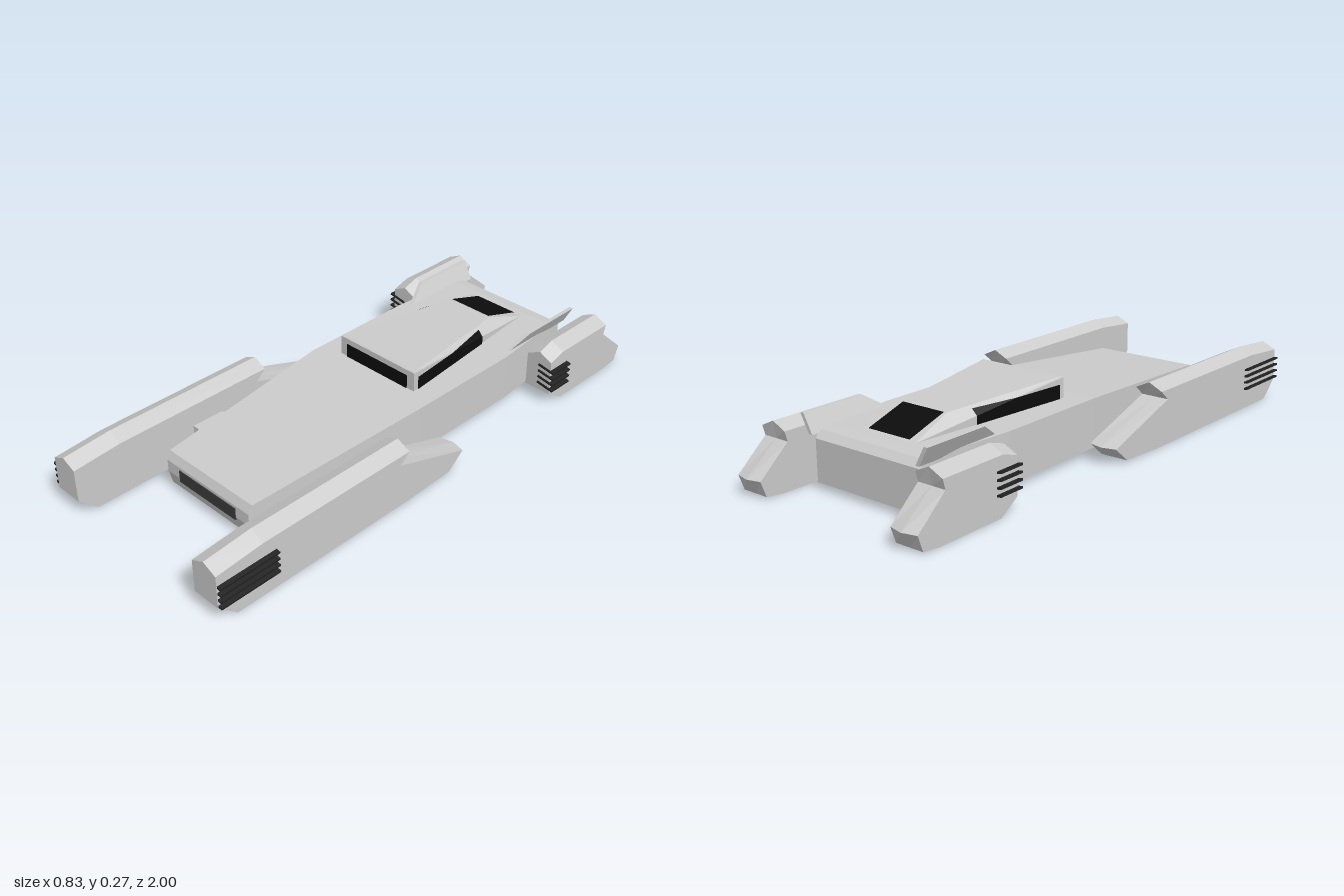
import * as THREE from 'three';
import { ConvexGeometry } from 'three/addons/geometries/ConvexGeometry.js';

const paint = (color, side = THREE.FrontSide) =>
  new THREE.MeshStandardMaterial({ color, flatShading: true, side });
const grey = paint(0xcccccc);
const dark = paint(0x222222);
const grilleGrey = paint(0x3c3c3c);
const glass = paint(0x0c0c0c, THREE.DoubleSide);
const v = (x, y, z) => new THREE.Vector3(x, y, z);

function add(parent, name, geometry, material, x = 0, y = 0, z = 0) {
  const mesh = new THREE.Mesh(geometry, material);
  mesh.name = name;
  mesh.position.set(x, y, z);
  parent.add(mesh);
  return mesh;
}

// Flat pane: a fan over a convex outline
function pane(points) {
  const g = new THREE.BufferGeometry().setFromPoints(points);
  const index = [];
  for (let i = 1; i < points.length - 1; i++) index.push(0, i, i + 1);
  g.setIndex(index);
  g.computeVertexNormals();
  return g;
}

// Side outline [z, y] extruded across x, with a raised ridge and pointed tail
function podGeometry(outline, width, tailZ) {
  const shape = new THREE.Shape(outline.map(([z, y]) => new THREE.Vector2(z, y)));
  const g = new THREE.ExtrudeGeometry(shape, { depth: width, steps: 2, bevelEnabled: false });
  g.rotateY(-Math.PI / 2).translate(width / 2, 0, 0);
  const p = g.attributes.position;
  for (let i = 0; i < p.count; i++) {
    if (Math.abs(p.getX(i)) > 0.01) continue;
    if (p.getY(i) > 0.17) p.setY(i, p.getY(i) + 0.025);
    if (p.getZ(i) < tailZ) p.setZ(i, p.getZ(i) - 0.013);
  }
  g.computeVertexNormals();
  return g;
}

// Four tilted vent blades on the outer front corner of a pod
function addVents(parent, side, outerX, z0, z1, reach) {
  for (let i = 0; i < 4; i++) {
    const blade = add(parent, 'ventBlade', new THREE.BoxGeometry(reach, 0.007, z1 - z0), dark,
      side * (outerX - reach / 2), 0.075 + i * 0.0245, (z0 + z1) / 2);
    blade.rotation.z = -0.18;
  }
}

export function createModel() {
  const model = new THREE.Group();
  const craft = new THREE.Group();
  craft.name = 'vehicle';
  craft.position.x = -0.003;
  model.add(craft);

  // Hull from stations: z, half width, bottom, top
  const stations = [
    [0.71, 0.2, 0.08, 0.125], [0.695, 0.202, 0.025, 0.155], [0, 0.26, 0.025, 0.2],
    [-0.45, 0.261, 0.025, 0.2], [-0.74, 0.235, 0.025, 0.2],
    [-0.78, 0.228, 0.025, 0.193], [-0.805, 0.222, 0.025, 0.17],
  ];
  const hull = stations.flatMap(([z, w, b, t]) => [v(-w, b, z), v(w, b, z), v(-w, t, z), v(w, t, z)]);
  add(craft, 'hull', new ConvexGeometry(hull), grey);
  add(craft, 'noseGrille', new THREE.BoxGeometry(0.275, 0.045, 0.02), grilleGrey, 0, 0.0925, 0.703);

  // Cabin
  const cabin = [];
  for (const s of [-1, 1]) {
    cabin.push(v(s * 0.175, 0.19, -0.06), v(s * 0.175, 0.272, -0.06), v(s * 0.172, 0.276, -0.066),
      v(s * 0.095, 0.253, -0.55), v(s * 0.115, 0.2, -0.71), v(s * 0.115, 0.19, -0.71));
  }
  add(craft, 'cabin', new ConvexGeometry(cabin), grey);
  add(craft, 'windscreen', pane([v(-0.145, 0.2, -0.057), v(0.145, 0.2, -0.057),
    v(0.145, 0.253, -0.057), v(-0.145, 0.253, -0.057)]), glass);
  add(craft, 'rearWindow', pane([v(-0.088, 0.255, -0.553), v(0.088, 0.255, -0.553),
    v(0.088, 0.206, -0.707), v(-0.088, 0.206, -0.707)]), glass);

  // Pod outlines: z, y
  const frontPod = podGeometry([
    [1, 0.065], [1, 0.185], [0.82, 0.2], [0.2, 0.2], [0.24, 0.165],
    [-0.065, 0.065], [0, 0.01], [0.2, 0.002], [0.93, 0.002],
  ], 0.105, -0.03);
  const rearPod = podGeometry([
    [-0.555, 0.05], [-0.555, 0.18], [-0.62, 0.2], [-0.88, 0.2], [-0.87, 0.165],
    [-0.985, 0.065], [-0.965, 0.01], [-0.9, 0.002], [-0.63, 0.002],
  ], 0.105, -0.98);

  for (const s of [-1, 1]) {
    // Side window, folded along the cabin crease
    const sideX = (z) => 0.178 - 0.0923 * (-0.06 - z);
    const low = (y, z) => v(s * sideX(z), y, z);
    add(craft, 'sideWindow', pane([low(0.2, -0.08), low(0.2, -0.46), low(0.229, -0.46),
      low(0.25, -0.277), low(0.25, -0.08)]), glass);
    add(craft, 'sideWindowTop', pane([low(0.229, -0.46), v(s * 0.121, 0.25, -0.46),
      low(0.25, -0.277)]), glass);

    // Tail fin
    const fin = [];
    for (const [x, y, z] of [[0.22, 0.185, -0.47], [0.255, 0.25, -0.57]]) {
      for (const dx of [0, 0.015]) fin.push(v(s * (x + dx), y, z), v(s * (x + dx), y, -0.82));
    }
    add(craft, 'tailFin', new ConvexGeometry(fin), grey);

    // Front pod with its strut
    add(craft, 'frontPod', frontPod, grey, s * 0.345);
    addVents(craft, s, 0.413, 0.77, 0.998, 0.07);
    add(craft, 'strut', new THREE.BoxGeometry(0.12, 0.045, 0.125), grey, s * 0.25, 0.0975, 0.465);

    // Rear pod
    add(craft, 'rearPod', rearPod, grey, s * 0.33);
    addVents(craft, s, 0.4, -0.65, -0.55, 0.07);
  }
  return model;
}
